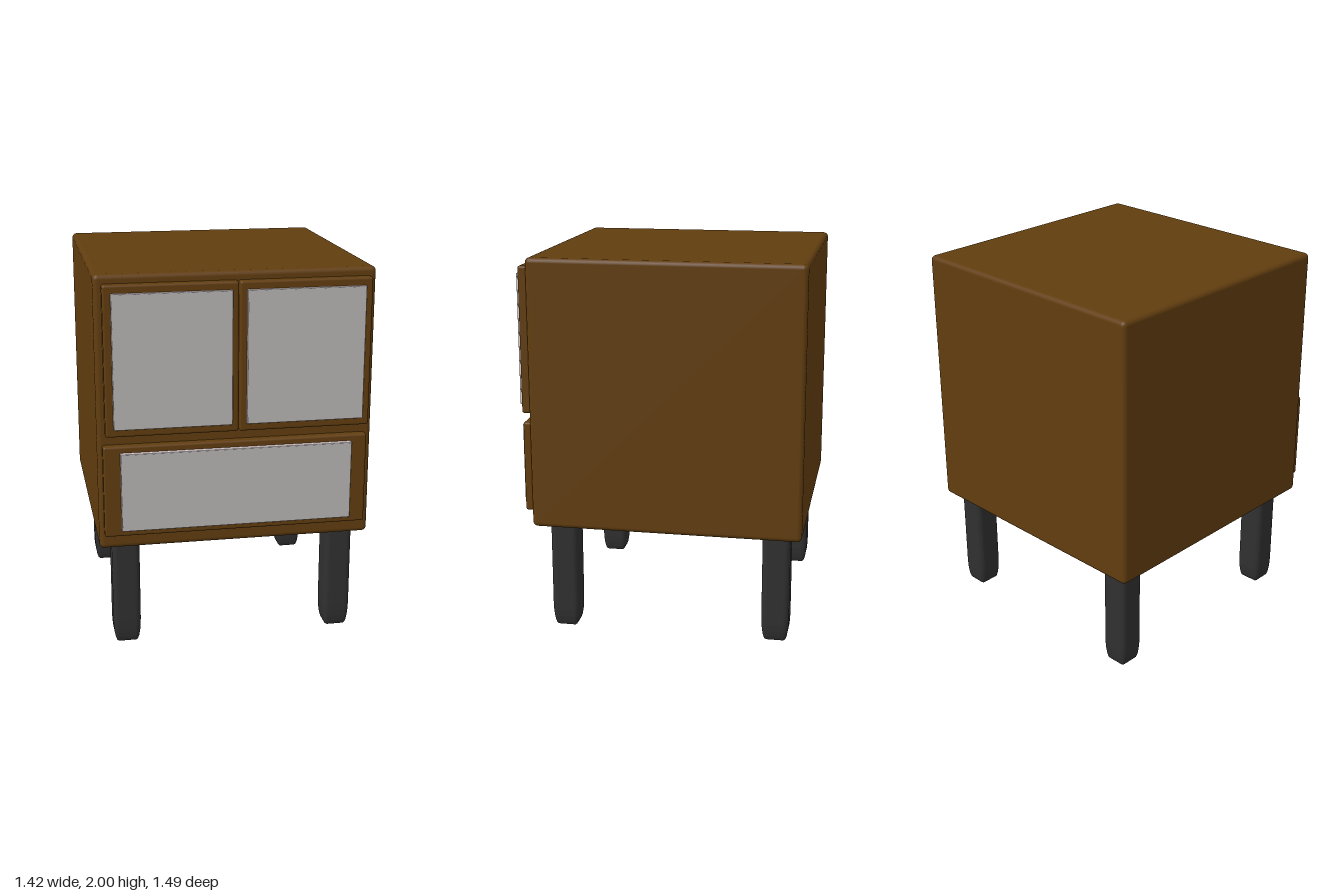
import * as THREE from 'three';
import { RoundedBoxGeometry } from 'three/addons/geometries/RoundedBoxGeometry.js';

function material(name, color) {
  const m = new THREE.MeshStandardMaterial({ color });
  m.name = name;
  return m;
}

// Rounded box given by its limits on each axis
function block(name, mat, [x0, x1], [y0, y1], [z0, z1], radius) {
  const geo = new RoundedBoxGeometry(x1 - x0, y1 - y0, z1 - z0, 3, radius);
  const mesh = new THREE.Mesh(geo, mat);
  mesh.position.set((x0 + x1) / 2, (y0 + y1) / 2, (z0 + z1) / 2);
  mesh.name = name;
  return mesh;
}

// Square leg with softened corners, narrowing in a curve at the foot
function legGeometry(half, radius, height) {
  const s = new THREE.Shape();
  const c = half - radius;
  s.absarc(c, c, radius, 0, Math.PI / 2);
  s.absarc(-c, c, radius, Math.PI / 2, Math.PI);
  s.absarc(-c, -c, radius, Math.PI, Math.PI * 1.5);
  s.absarc(c, -c, radius, Math.PI * 1.5, Math.PI * 2);
  const taper = 0.13, inset = 0.024;
  const geo = new THREE.ExtrudeGeometry(s, {
    depth: height - 2 * taper, curveSegments: 3,
    bevelThickness: taper, bevelSize: inset, bevelOffset: -inset, bevelSegments: 5,
  });
  geo.translate(0, 0, taper);
  geo.rotateX(-Math.PI / 2);
  return geo;
}

export function createModel() {
  const model = new THREE.Group();
  model.name = 'cabinet';
  const wood = material('brown wood', 0x613d0f);
  const glass = material('grey panel', 0xb8b5b5);
  const rim = material('pale panel rim', 0xdccdd0);
  const dark = material('dark leg', 0x303030);

  // Cabinet body
  model.add(block('body', wood, [-0.71, 0.71], [0.58, 2], [-0.745, 0.675], 0.025));

  // Two doors and a drawer, each with an inset-looking pale panel
  const fronts = [
    { name: 'rightDoor', x: [-0.67, 0.003], y: [1.19, 1.955], px: [-0.63, -0.03], py: [1.23, 1.915], z: 0.72, pz: 0.737 },
    { name: 'leftDoor', x: [0.007, 0.682], y: [1.19, 1.955], px: [0.043, 0.646], py: [1.23, 1.915], z: 0.72, pz: 0.737 },
    { name: 'drawer', x: [-0.685, 0.677], y: [0.66, 1.14], px: [-0.6, 0.592], py: [0.695, 1.107], z: 0.718, pz: 0.745 },
  ];
  for (const f of fronts) {
    const group = new THREE.Group();
    group.name = f.name;
    group.add(block('board', wood, f.x, f.y, [0.64, f.z], 0.012));
    group.add(block('panelRim', rim, f.px, f.py, [0.7, f.pz - 0.002], 0.004));
    const face = new THREE.Mesh(
      new THREE.BoxGeometry(f.px[1] - f.px[0] - 0.006, f.py[1] - f.py[0] - 0.006, 0.004), glass);
    face.position.set((f.px[0] + f.px[1]) / 2, (f.py[0] + f.py[1]) / 2, f.pz - 0.002);
    face.name = 'panelFace';
    group.add(face);
    model.add(group);
  }

  // Four legs, reaching a little into the body
  const legGeo = legGeometry(0.073, 0.03, 0.76);
  for (const [side, x] of [['Right', -0.567], ['Left', 0.58]]) {
    for (const [end, z] of [['front', 0.522], ['back', -0.61]]) {
      const leg = new THREE.Mesh(legGeo, dark);
      leg.position.set(x, 0, z);
      leg.name = end + side + 'Leg';
      model.add(leg);
    }
  }
  return model;
}
